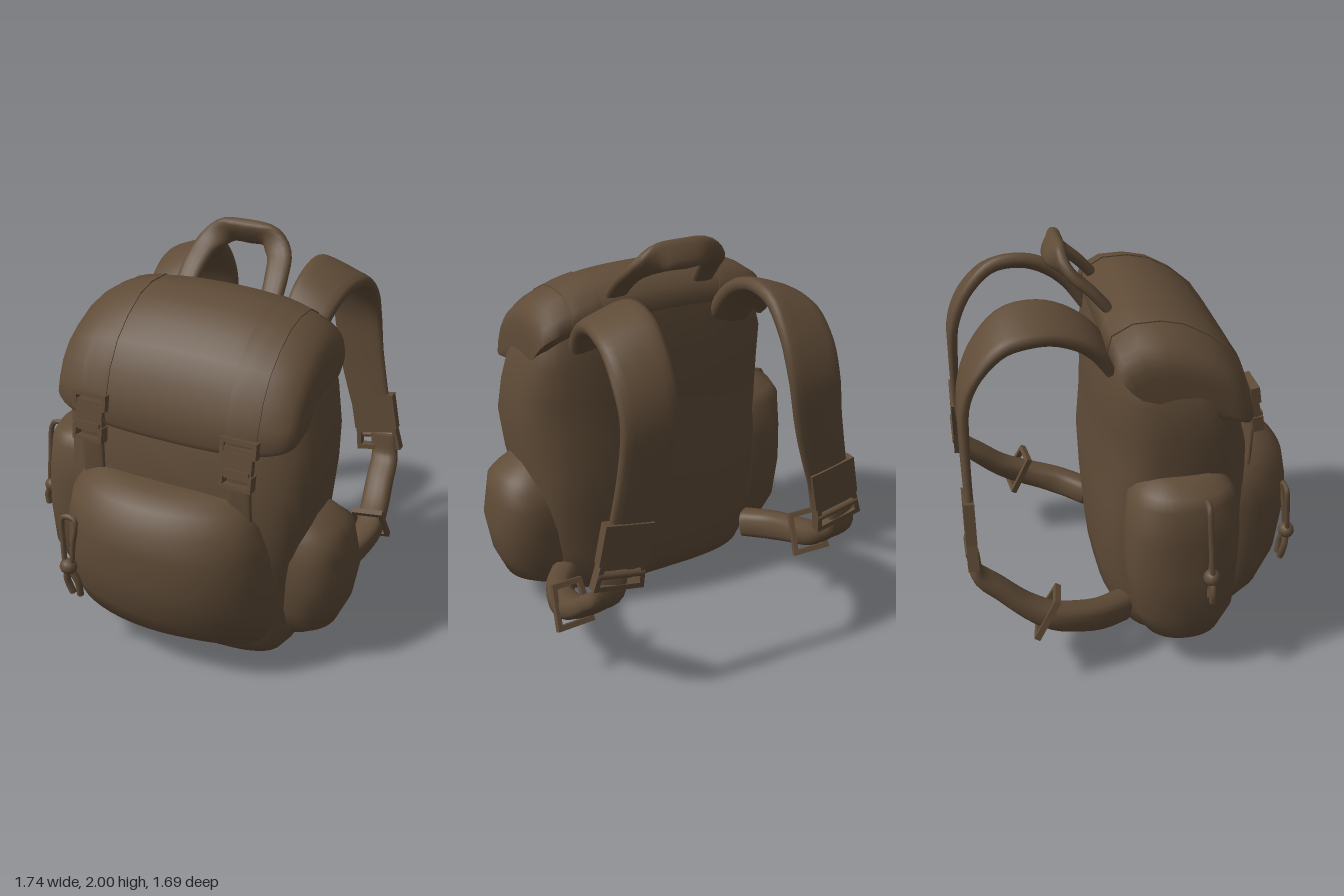
import * as THREE from 'three';
import { toCreasedNormals } from 'three/addons/utils/BufferGeometryUtils.js';

const canvas = new THREE.MeshStandardMaterial({ color: 0x5f4b37 });
canvas.name = 'brown canvas';
const V = (x, y, z) => new THREE.Vector3(x, y, z);
const power = (v, e) => Math.sign(v) * Math.abs(v) ** (2 / e);

function mesh(name, geometry, parent) {
  const m = new THREE.Mesh(geometry, canvas);
  m.name = name;
  parent.add(m);
  return m;
}

// Closed skin over rings of points, capped at both ends
function skin(rings) {
  const n = rings[0].length, pos = [], idx = [];
  rings.forEach(r => r.forEach(p => pos.push(p.x, p.y, p.z)));
  const at = (i, j) => i * n + (j % n);
  for (let i = 0; i < rings.length - 1; i++)
    for (let j = 0; j < n; j++)
      idx.push(at(i, j), at(i, j + 1), at(i + 1, j), at(i, j + 1), at(i + 1, j + 1), at(i + 1, j));
  const last = rings.length - 1, c0 = rings.length * n;
  for (const r of [rings[0], rings[last]]) {
    const c = V(0, 0, 0);
    r.forEach(p => c.addScaledVector(p, 1 / n));
    pos.push(c.x, c.y, c.z);
  }
  for (let j = 0; j < n; j++)
    idx.push(c0, at(0, j + 1), at(0, j), c0 + 1, at(last, j), at(last, j + 1));
  const g = new THREE.BufferGeometry();
  g.setAttribute('position', new THREE.Float32BufferAttribute(pos, 3));
  g.setIndex(idx);
  return toCreasedNormals(g, 1.0);
}

// Soft volume from levels [y, xMin, xMax, zMin, zMax], with slight cloth folds
function bag(levels, e = 3.4, fold = 0.012, n = 44) {
  return skin(levels.map(([y, x0, x1, z0, z1]) => Array.from({ length: n }, (_, j) => {
    const a = -j / n * Math.PI * 2, f = 1 + fold * Math.sin(4 * a + 7 * y) * Math.min(1, y * 4);
    return V((x0 + x1) / 2 + (x1 - x0) / 2 * f * power(Math.cos(a), e), y,
      (z0 + z1) / 2 + (z1 - z0) / 2 * f * power(Math.sin(a), e));
  })));
}

// Slice of the hooded flap between two x positions; its profile [z, y] sinks toward the sides
const hood = [[-.15, 1.62], [-.13, 1.71], [-.03, 1.77], [.1, 1.775], [.21, 1.75], [.33, 1.68], [.43, 1.59],
  [.505, 1.47], [.55, 1.34], [.575, 1.22], [.56, 1.19], [.44, 1.23], [.2, 1.38], [-.08, 1.52]];
function flapSlice(xs, grow) {
  return skin(xs.map(x => {
    const s = Math.min(1, Math.abs(x - .025) / .63);
    const fy = grow * (.4 + .6 * (1 - s ** 2.5) ** .4), fz = grow * (.66 + .34 * (1 - s ** 3.2) ** (1 / 3.2));
    return hood.map(([z, y]) => V(x, 1.36 + (y - 1.36) * fy, .12 + (z - .12) * fz));
  }));
}

// Padded strap swept along points; sizes are [width, thickness] from start to end
function strap(points, across, sizes, steps = 24, e = 3.5) {
  const curve = new THREE.CatmullRomCurve3(points.map(p => V(...p)));
  const rings = [];
  for (let i = 0; i <= steps; i++) {
    const t = i / steps, k = t * (sizes.length - 1), a = Math.min(Math.floor(k), sizes.length - 2);
    const w = THREE.MathUtils.lerp(sizes[a][0], sizes[a + 1][0], k - a) / 2;
    const h = THREE.MathUtils.lerp(sizes[a][1], sizes[a + 1][1], k - a) / 2;
    const p = curve.getPoint(t), T = curve.getTangent(t);
    const W = typeof across === 'function' ? across(T) : across.clone();
    const N = T.clone().cross(W).normalize();
    W.crossVectors(N, T).normalize();
    rings.push(Array.from({ length: 16 }, (_, j) => {
      const b = j / 16 * Math.PI * 2;
      return p.clone().addScaledVector(W, w * power(Math.cos(b), e)).addScaledVector(N, h * power(Math.sin(b), e));
    }));
  }
  return skin(rings);
}

// Flat frame with a slot, facing z
function frame(w, h, rim, depth, taper = 1) {
  const outline = (path, a, b) => {
    path.moveTo(-a / 2, -b / 2); path.lineTo(a / 2, -b / 2);
    path.lineTo(a / 2 * taper, b / 2); path.lineTo(-a / 2 * taper, b / 2); path.closePath();
    return path;
  };
  const s = outline(new THREE.Shape(), w, h);
  s.holes.push(outline(new THREE.Path(), w - 2 * rim, h - 2 * rim));
  return new THREE.ExtrudeGeometry(s, { depth, bevelEnabled: false }).translate(0, 0, -depth / 2);
}

const cord = (pts, r = 0.013, closed = false) =>
  new THREE.TubeGeometry(new THREE.CatmullRomCurve3(pts.map(p => V(...p)), closed), 30, r, 7, closed);

// Loop, knot and two tails hanging from a top point
function pullCord(name, top, knot, end, parent) {
  const g = new THREE.Group();
  g.name = name;
  const mix = (t, dx) => [0, 1, 2].map(i => top[i] + (knot[i] - top[i]) * t + (i ? 0 : dx));
  mesh('cordLoop', cord([mix(0, -0.03), mix(0.5, -0.03), mix(1, -0.01), mix(1, 0.01), mix(0.5, 0.026), mix(0, 0.035)], 0.014, true), g);
  mesh('cordKnot', new THREE.SphereGeometry(0.045, 12, 8).scale(1, 0.9, 0.9), g).position.set(...knot);
  for (const d of [-0.022, 0.022])
    mesh('cordTail', cord([knot, [(knot[0] + end[0]) / 2 + d * 1.4, (knot[1] + end[1]) / 2, (knot[2] + end[2]) / 2], [end[0] + d, end[1], end[2]]], 0.018), g);
  parent.add(g);
}

export function createModel() {
  const model = new THREE.Group();
  model.name = 'backpack';

  // Main sack
  mesh('body', bag([
    [0, -.33, .38, .14, .36], [.03, -.5, .55, .03, .46], [.1, -.56, .6, -.09, .52], [.2, -.58, .62, -.145, .55],
    [.35, -.6, .63, -.165, .57], [.6, -.61, .66, -.185, .57], [.8, -.61, .69, -.185, .57], [1.02, -.61, .71, -.165, .57],
    [1.2, -.62, .7, -.165, .53], [1.38, -.62, .67, -.17, .48], [1.53, -.57, .62, -.15, .4], [1.63, -.47, .53, -.14, .3],
    [1.71, -.33, .38, -.12, .18]
  ]), model);

  // Front pocket, bulging most at its middle
  mesh('frontPocket', bag([
    [.11, -.4, .44, .3, .56], [.15, -.47, .51, .22, .63], [.24, -.51, .55, .18, .74], [.38, -.52, .57, .16, .82],
    [.55, -.52, .57, .15, .845], [.72, -.51, .55, .15, .85], [.84, -.49, .51, .16, .825], [.92, -.44, .46, .2, .75],
    [.965, -.37, .39, .3, .67], [.975, -.3, .32, .36, .61]
  ], 2.05, 0.006), model);

  // Side pockets
  mesh('rightPocket', bag([
    [.13, -.68, -.4, .06, .32], [.19, -.76, -.4, 0, .38], [.32, -.805, -.38, -.06, .44], [.55, -.81, -.38, -.09, .46],
    [.75, -.8, -.38, -.09, .46], [.93, -.79, -.38, -.07, .43], [.98, -.76, -.4, -.03, .4], [1.02, -.64, -.4, .04, .34]
  ], 2.3), model);
  mesh('leftPocket', bag([
    [.13, .4, .7, .04, .32], [.19, .4, .78, -.02, .37], [.32, .4, .835, -.06, .41], [.5, .4, .865, -.07, .43],
    [.62, .4, .84, -.06, .43], [.71, .4, .83, -.03, .4], [.75, .4, .79, .01, .38], [.82, .4, .7, .06, .33]
  ], 2.3), model);

  // Top flap
  const flapXs = Array.from({ length: 29 }, (_, i) => .025 + .63 * Math.sin((i / 28 - .5) * Math.PI));
  mesh('topFlap', flapSlice(flapXs, 1), model);

  // Closing straps over the flap, with clip buckles
  for (const [x, y] of [[-.355, 1.23], [.42, 1.17]]) {
    mesh('flapStrap', flapSlice([-.075, -.025, .025, .075].map(d => x + d), 1.014), model);
    mesh('lowerWebbing', strap([[x, y + .08, .565], [x, y - .1, .565], [x, .98, .56], [x, .88, .55]], V(1, 0, 0), [[.12, .025], [.12, .025]], 8), model);
    const clip = new THREE.Group();
    clip.name = 'flapBuckle';
    mesh('clipTop', frame(.18, .08, .02, .045), clip).position.set(0, .085, 0);
    mesh('clipBody', new THREE.BoxGeometry(.145, .15, .035), clip).position.set(0, .01, 0);
    mesh('clipSlot', frame(.16, .075, .018, .055), clip).position.set(0, -.075, 0);
    mesh('clipBar', new THREE.BoxGeometry(.13, .025, .05), clip).position.set(0, -.03, .005);
    clip.position.set(x, y, .575);
    clip.rotation.x = -.15;
    model.add(clip);
  }

  // Grab handle: flat legs leaning backward, twisting into a broad bar
  mesh('grabHandle', strap([[-.2, 1.7, -.09], [-.19, 1.79, -.17], [-.16, 1.87, -.26], [-.08, 1.93, -.31], [.03, 1.935, -.32],
    [.14, 1.93, -.31], [.22, 1.87, -.26], [.25, 1.79, -.17], [.26, 1.7, -.09]],
    T => V(0, .66 - 1.1 * T.x * T.x, .78).cross(T), [[.11, .05], [.12, .05], [.13, .06], [.14, .07], [.13, .06], [.12, .05], [.11, .05]], 32, 2.8), model);

  // Shoulder straps, sloping outward over the top, with adjusters and lower webbing
  for (const side of [-1, 1]) {
    const g = new THREE.Group();
    g.name = side < 0 ? 'rightShoulderStrap' : 'leftShoulderStrap';
    const P = list => list.map(([x, y, z]) => [side * x, y, z]);
    mesh('paddedStrap', strap(P([[.37, 1.5, -.11], [.38, 1.62, -.2], [.39, 1.695, -.3], [.4, 1.735, -.43], [.41, 1.71, -.59],
      [.415, 1.595, -.715], [.42, 1.43, -.79], [.45, 1.2, -.805], [.51, .95, -.805], [.57, .74, -.8]]),
      T => V(1, side * -.38 * Math.abs(T.z), 0), [[.22, .08], [.25, .08], [.28, .075], [.28, .06], [.25, .045], [.2, .035]], 36), g);
    const adj = new THREE.Group();
    adj.name = 'adjuster';
    mesh('adjusterSleeve', new THREE.BoxGeometry(.24, .2, .05), adj).position.set(0, .1, 0);
    mesh('adjusterFrame', frame(.25, .13, .025, .05, .9), adj).position.set(0, -.06, 0);
    mesh('adjusterBar', new THREE.CylinderGeometry(.017, .017, .23, 8).rotateZ(Math.PI / 2), adj).position.set(0, -.05, -.015);
    adj.position.set(side * .57, .76, -.81);
    adj.rotation.z = side * .2;
    g.add(adj);
    mesh('lowerStrap', strap(P([[.61, .73, -.8], [.63, .6, -.795], [.645, .5, -.69], [.665, .4, -.57], [.68, .335, -.45],
      [.66, .295, -.32], [.62, .265, -.21], [.54, .24, -.09]]),
      V(1, 0, side * .15), [[.15, .03], [.15, .085], [.15, .1], [.14, .13], [.13, .15], [.14, .15]], 28, 2.8), g);
    const ring = mesh('strapBuckle', frame(.2, .22, .025, .03, .8), g);
    ring.position.set(side * .675, .36, -.475);
    ring.rotation.set(.5, side * .15, 0);
    g.position.x = .03;
    model.add(g);
  }

  // Hanging pull cords
  pullCord('frontPullCord', [-.39, .76, .76], [-.39, .5, .785], [-.365, .335, .765], model);
  pullCord('sidePullCord', [-.77, .95, .26], [-.82, .58, .28], [-.83, .46, .28], model);
  return model;
}
